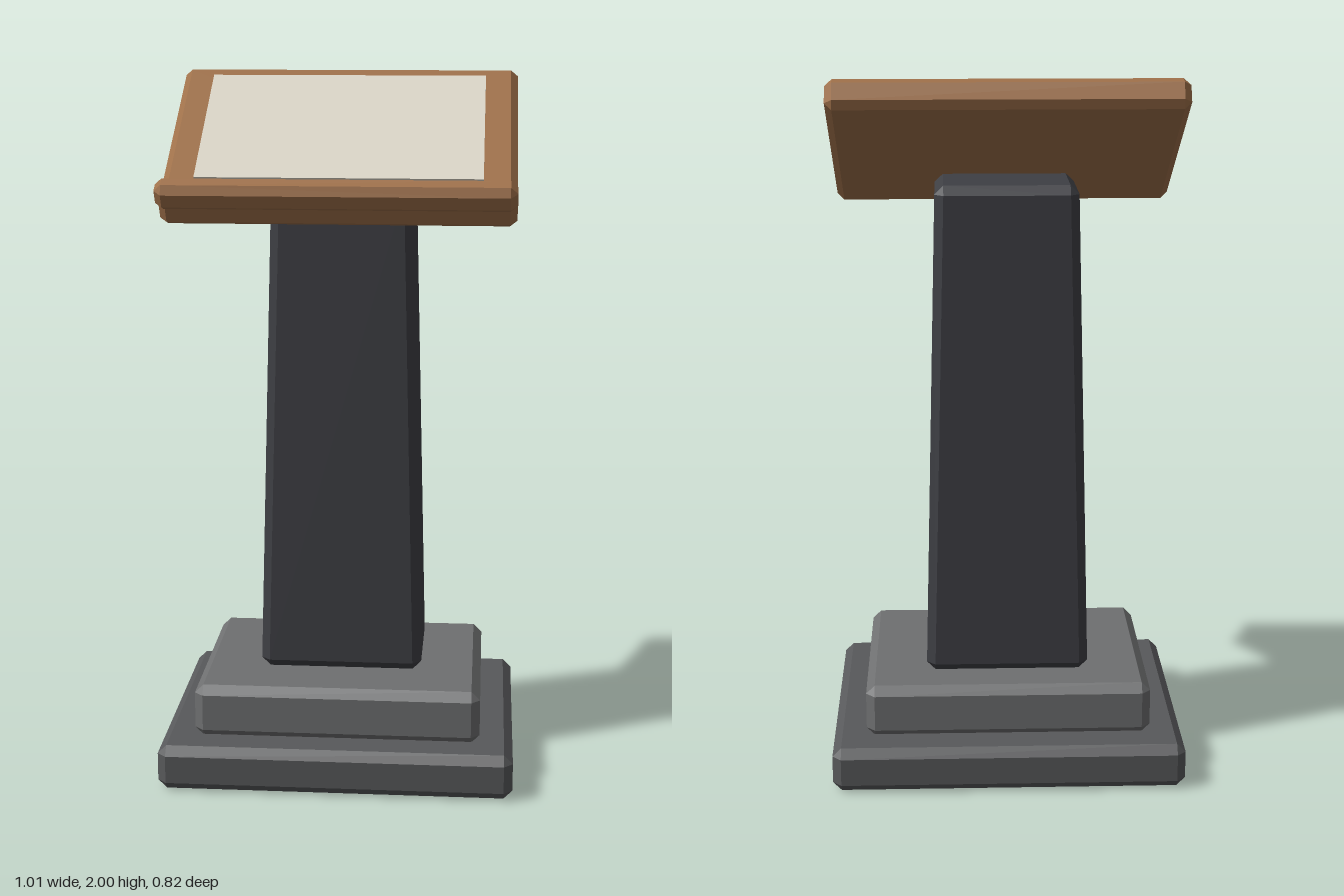
import * as THREE from 'three';
import { ConvexGeometry } from 'three/addons/geometries/ConvexGeometry.js';

// Box with chamfered edges and corners; the top may be narrower than the bottom.
function chamferBox(w, h, d, c, topW = w, topD = d) {
  const points = [];
  for (const sy of [-1, 1]) {
    const hx = (sy > 0 ? topW : w) / 2, hz = (sy > 0 ? topD : d) / 2, hy = h / 2;
    for (const sx of [-1, 1]) for (const sz of [-1, 1]) {
      points.push(
        new THREE.Vector3(sx * hx, sy * (hy - c), sz * (hz - c)),
        new THREE.Vector3(sx * (hx - c), sy * hy, sz * (hz - c)),
        new THREE.Vector3(sx * (hx - c), sy * (hy - c), sz * hz)
      );
    }
  }
  return new ConvexGeometry(points);
}

function addPart(parent, name, geometry, color, y, z = 0) {
  const material = new THREE.MeshStandardMaterial({ color, flatShading: true });
  const mesh = new THREE.Mesh(geometry, material);
  mesh.name = name;
  mesh.position.set(0, y, z);
  parent.add(mesh);
  return mesh;
}

export function createModel() {
  const model = new THREE.Group();
  model.name = 'lectern';
  const wood = 0xa0714a;

  // Stepped foot
  addPart(model, 'basePlinth', chamferBox(1.01, 0.13, 0.82, 0.025), 0x58595b, 0.065);
  addPart(model, 'upperPlinth', chamferBox(0.82, 0.155, 0.63, 0.025), 0x6e6f70, 0.2025);

  // Tapered column, set slightly back
  addPart(model, 'column', chamferBox(0.47, 1.42, 0.345, 0.025, 0.4, 0.29), 0x3e3f44, 0.99, -0.03);

  // Sloping desk: local y is normal to the slope, local z runs down it
  const desk = new THREE.Group();
  desk.name = 'desk';
  desk.position.set(0, 1.8, -0.002);
  desk.rotation.x = 0.55;
  model.add(desk);
  addPart(desk, 'deskBoard', chamferBox(0.975, 0.09, 0.65, 0.02), wood, 0);
  addPart(desk, 'bookLip', chamferBox(0.975, 0.08, 0.07, 0.02), wood, 0.075, 0.329);
  addPart(desk, 'paper', new THREE.BoxGeometry(0.79, 0.022, 0.49), 0xdcd6c8, 0.055, -0.002);

  return model;
}
